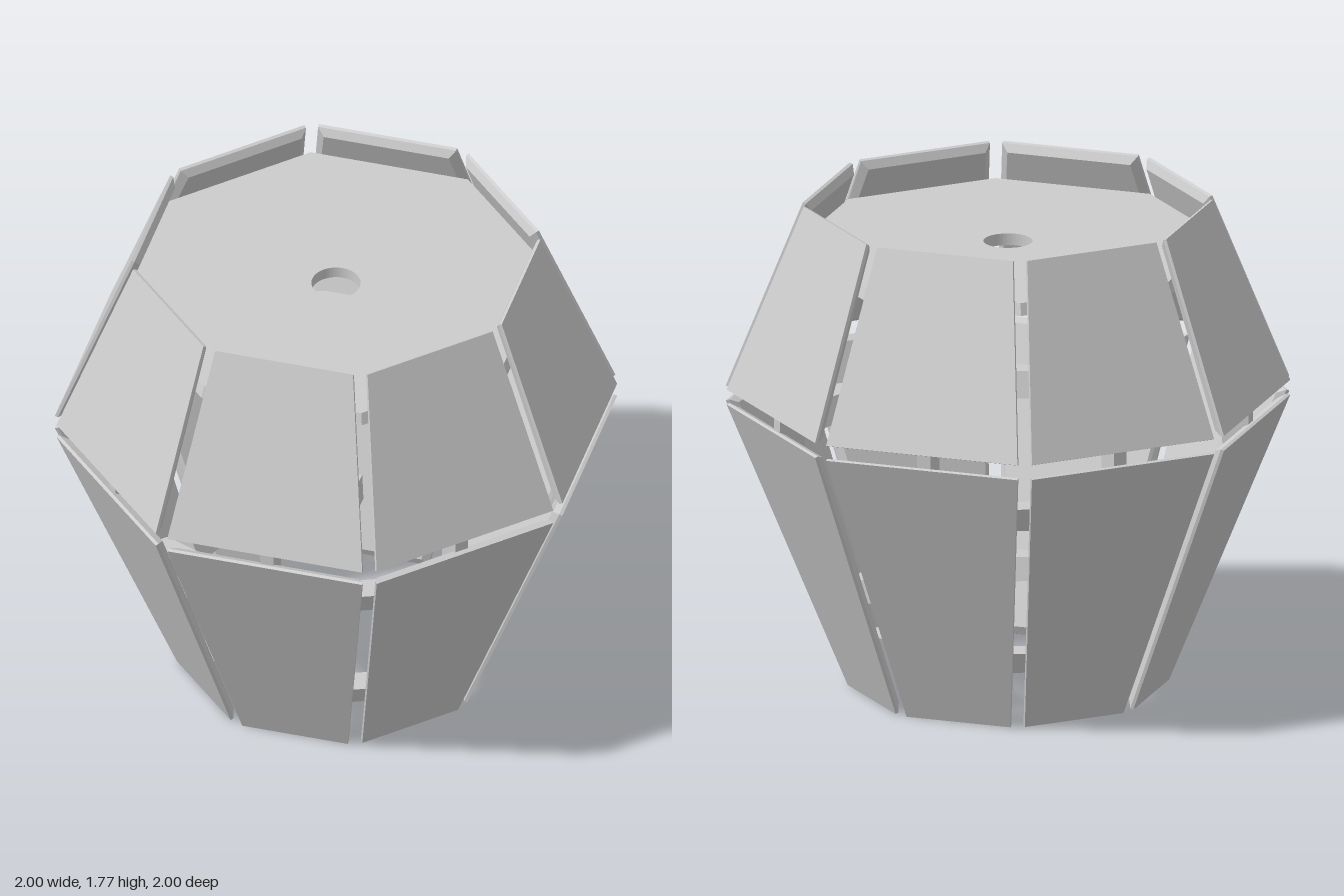
import * as THREE from 'three';

const STEP = Math.PI / 4;
const TAN = Math.tan(Math.PI / 8);
const COS = Math.cos(Math.PI / 8);
const material = new THREE.MeshStandardMaterial({ color: 0xcccccc, flatShading: true });

// Flat-sided solid through equal-length loops; loops run counter-clockwise seen from the last loop.
function loft(loops) {
  const n = loops[0].length;
  const positions = loops.flat(2);
  const index = [];
  for (let l = 0; l < loops.length - 1; l++) {
    for (let i = 0; i < n; i++) {
      const a = l * n + i, b = l * n + (i + 1) % n;
      index.push(a, b, b + n, a, b + n, a + n);
    }
  }
  const last = (loops.length - 1) * n;
  for (let i = 1; i < n - 1; i++) {
    index.push(0, i + 1, i, last, last + i, last + i + 1);
  }
  const geometry = new THREE.BufferGeometry();
  geometry.setAttribute('position', new THREE.Float32BufferAttribute(positions, 3));
  geometry.setIndex(index);
  const flat = geometry.toNonIndexed();
  flat.computeVertexNormals();
  return flat;
}

// Trapezoid wall panel facing +z, bevelled around its inner face
function panelGeometry(y0, r0, y1, r1) {
  const len = Math.hypot(y1 - y0, r1 - r0);
  const up = [(y1 - y0) / len, (r1 - r0) / len];
  const loop = (depth, inset) => {
    const point = (side, y, r, dir) => [
      side * (r * TAN - 0.028 - inset),
      y + dir * inset * up[0] + depth * up[1],
      r + dir * inset * up[1] - depth * up[0],
    ];
    return [point(-1, y0, r0, 1), point(1, y0, r0, 1), point(1, y1, r1, -1), point(-1, y1, r1, -1)];
  };
  return loft([loop(0.035, 0.024), loop(0.012, 0), loop(0, 0)]);
}

// Corner bracket at +z that joins two neighbouring lower panels from inside
function bracketGeometry(y0, y1) {
  const loop = (y) => {
    const R = (0.536 + 0.379 * y - 0.036) / COS;
    const half = [[0.07, R - 0.029], [0.165, R - 0.068], [0.14, R - 0.125]];
    const right = half.map(([x, z]) => [x, y, z]);
    const left = half.map(([x, z]) => [-x, y, z]).reverse();
    return [...left, ...right];
  };
  return loft([loop(y0), loop(y1)]);
}

// Upright rib at the middle of a side, joining the lower and upper panels
function ribGeometry() {
  const outline = [[0.83, 0.92], [0.908, 1.04], [0.908, 1.1], [0.84, 1.2], [0.81, 1.16], [0.81, 0.97]];
  const shape = new THREE.Shape(outline.map(([r, y]) => new THREE.Vector2(r, y)));
  const geometry = new THREE.ExtrudeGeometry(shape, { depth: 0.05, bevelEnabled: false });
  return geometry.translate(0, 0, -0.025).rotateY(-Math.PI / 2);
}

// Octagonal top plate with a round hole, its rim following the panel slope
function plateGeometry() {
  const R = 0.755, thickness = 0.043;
  const corners = Array.from({ length: 8 }, (_, i) =>
    new THREE.Vector2(R * Math.cos(i * STEP), R * Math.sin(i * STEP)));
  const shape = new THREE.Shape(corners);
  shape.holes.push(new THREE.Path().absarc(0, 0, 0.087, 0, Math.PI * 2, true));
  const geometry = new THREE.ExtrudeGeometry(shape, { depth: thickness, bevelEnabled: false, curveSegments: 32 });
  geometry.rotateX(-Math.PI / 2);
  const p = geometry.attributes.position;
  for (let i = 0; i < p.count; i++) {
    if (Math.hypot(p.getX(i), p.getZ(i)) > 0.2 && p.getY(i) < thickness / 2) {
      p.setX(i, p.getX(i) * 1.02);
      p.setZ(i, p.getZ(i) * 1.02);
    }
  }
  geometry.computeVertexNormals();
  return geometry.translate(0, 1.582, 0);
}

export function createModel() {
  const model = new THREE.Group();
  model.name = 'octagonalLantern';

  const add = (name, geometry, angle = 0) => {
    const mesh = new THREE.Mesh(geometry, material);
    mesh.name = name;
    mesh.rotation.y = angle;
    model.add(mesh);
  };

  const lowerPanel = panelGeometry(0, 0.536, 1.045, 0.932);
  const upperPanel = panelGeometry(1.1, 0.932, 1.772, 0.68);
  const lowBracket = bracketGeometry(0.21, 0.29);
  const highBracket = bracketGeometry(0.81, 0.9);
  const rib = ribGeometry();

  for (let i = 0; i < 8; i++) {
    const side = (i + 0.5) * STEP;
    add('lowerPanel', lowerPanel, side);
    add('upperPanel', upperPanel, side);
    add('rib', rib, side);
    add('lowBracket', lowBracket, i * STEP);
    // the corner on the left side has no high bracket
    if (i !== 2) add('highBracket', highBracket, i * STEP);
  }

  add('topPlate', plateGeometry());
  return model;
}
